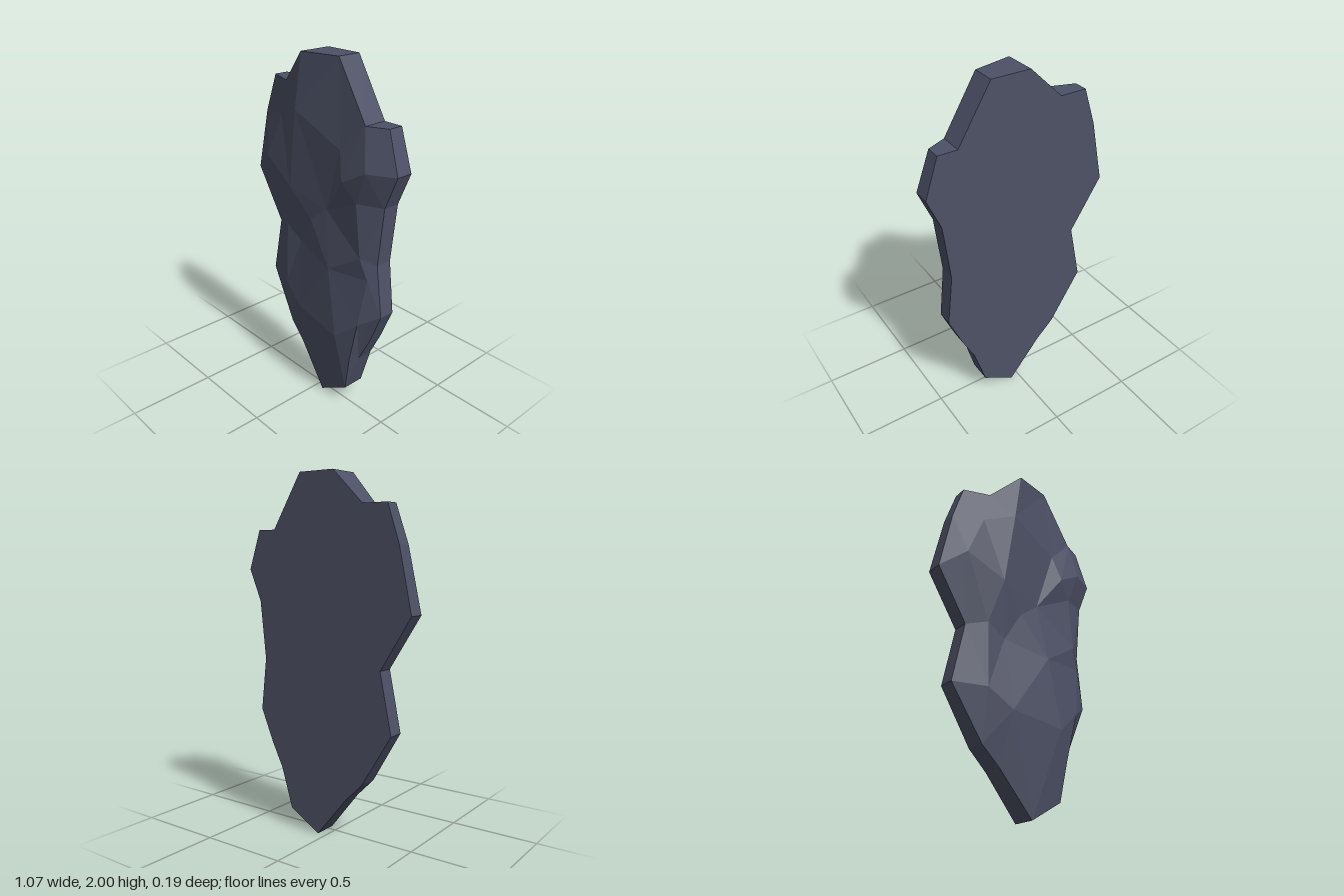
import * as THREE from 'three';

const BACK = -0.095;

// Rim of the slab, counter-clockwise from the lowest tip: x, y, front z
const rim = [
  [0.05, 0, 0.04], [0.24, 0.11, 0.035], [0.31, 0.34, 0], [0.38, 0.48, -0.01],
  [0.46, 0.67, -0.005], [0.425, 0.97, 0], [0.46, 1.3, 0], [0.535, 1.48, 0],
  [0.46, 1.7, -0.012], [0.35, 1.7, 0.038], [0.165, 2, 0.04], [-0.055, 2, 0.09],
  [-0.24, 1.82, 0.035], [-0.39, 1.82, -0.015], [-0.46, 1.61, -0.005], [-0.535, 1.26, 0.003],
  [-0.355, 0.97, 0], [-0.425, 0.635, 0], [-0.245, 0.34, 0.02], [-0.14, 0.235, 0.025],
];

// Peaks and hollows of the chipped front
const bumps = [
  [-0.39, 1.375, 0.055], [-0.28, 1.63, 0.04], [-0.1, 1.7, 0.095], [-0.165, 1.26, 0.085],
  [-0.13, 0.93, 0.04], [0.09, 1.19, 0.045], [0.2, 1.55, 0.06], [0.245, 1.4, 0.09],
  [0.39, 1.48, 0.075], [0.32, 1.3, 0.06], [-0.03, 1.1, 0.055], [0.14, 0.87, 0.08],
  [0.35, 1.0, 0.055], [-0.24, 1.0, 0.045], [-0.24, 0.63, 0.06], [-0.1, 0.53, 0.085],
  [0.21, 0.48, 0.095], [0.35, 0.6, 0.06], [0.285, 0.34, 0.05], [0.39, 0.88, 0.035],
];

function insideRim(x, y) {
  let inside = false;
  rim.forEach(([ax, ay], i) => {
    const [bx, by] = rim[(i + 1) % rim.length];
    if (ay > y !== by > y && x < ax + ((y - ay) * (bx - ax)) / (by - ay)) inside = !inside;
  });
  return inside;
}

// Facets: triples whose circle holds no other point (y squeezed for tall facets)
function facets(points) {
  const p = points.map(([x, y]) => [x, y * 0.55]);
  const out = [];
  for (let i = 0; i < p.length; i++)
    for (let j = i + 1; j < p.length; j++)
      for (let k = j + 1; k < p.length; k++) {
        const [ax, ay] = p[i];
        const bx = p[j][0] - ax, by = p[j][1] - ay;
        const cx = p[k][0] - ax, cy = p[k][1] - ay;
        const d = 2 * (bx * cy - by * cx);
        if (Math.abs(d) < 1e-7) continue;
        const b2 = bx * bx + by * by, c2 = cx * cx + cy * cy;
        const ux = (cy * b2 - by * c2) / d, uy = (bx * c2 - cx * b2) / d;
        const r = Math.hypot(ux, uy);
        const empty = p.every(([x, y], n) => n === i || n === j || n === k ||
          Math.hypot(x - ax - ux, y - ay - uy) > r - 1e-9);
        const mid = [0, 1].map((a) => (points[i][a] + points[j][a] + points[k][a]) / 3);
        if (empty && insideRim(...mid)) out.push(d > 0 ? [i, j, k] : [i, k, j]);
      }
  return out;
}

function meshFrom(name, corners, material) {
  const geometry = new THREE.BufferGeometry();
  geometry.setAttribute('position', new THREE.Float32BufferAttribute(corners.flat(), 3));
  geometry.computeVertexNormals();
  const mesh = new THREE.Mesh(geometry, material);
  mesh.name = name;
  return mesh;
}

export function createModel() {
  const group = new THREE.Group();
  group.name = 'rockSlab';
  const stone = new THREE.MeshStandardMaterial({ color: 0x4d5166 });
  stone.name = 'slate';

  // Chipped front
  const points = [...rim, ...bumps];
  const front = facets(points).flat().map((i) => points[i]);
  group.add(meshFrom('chippedFront', front, stone));

  // Straight side walls
  const back = rim.map(([x, y]) => [x, y, BACK]);
  const walls = rim.flatMap((a, i) => {
    const j = (i + 1) % rim.length;
    return [a, back[i], back[j], a, back[j], rim[j]];
  });
  group.add(meshFrom('sideWalls', walls, stone));

  // Flat back
  const outline = rim.map(([x, y]) => new THREE.Vector2(x, y));
  const flat = THREE.ShapeUtils.triangulateShape(outline, [])
    .flatMap(([a, b, c]) => [back[a], back[c], back[b]]);
  group.add(meshFrom('flatBack', flat, stone));

  return group;
}
